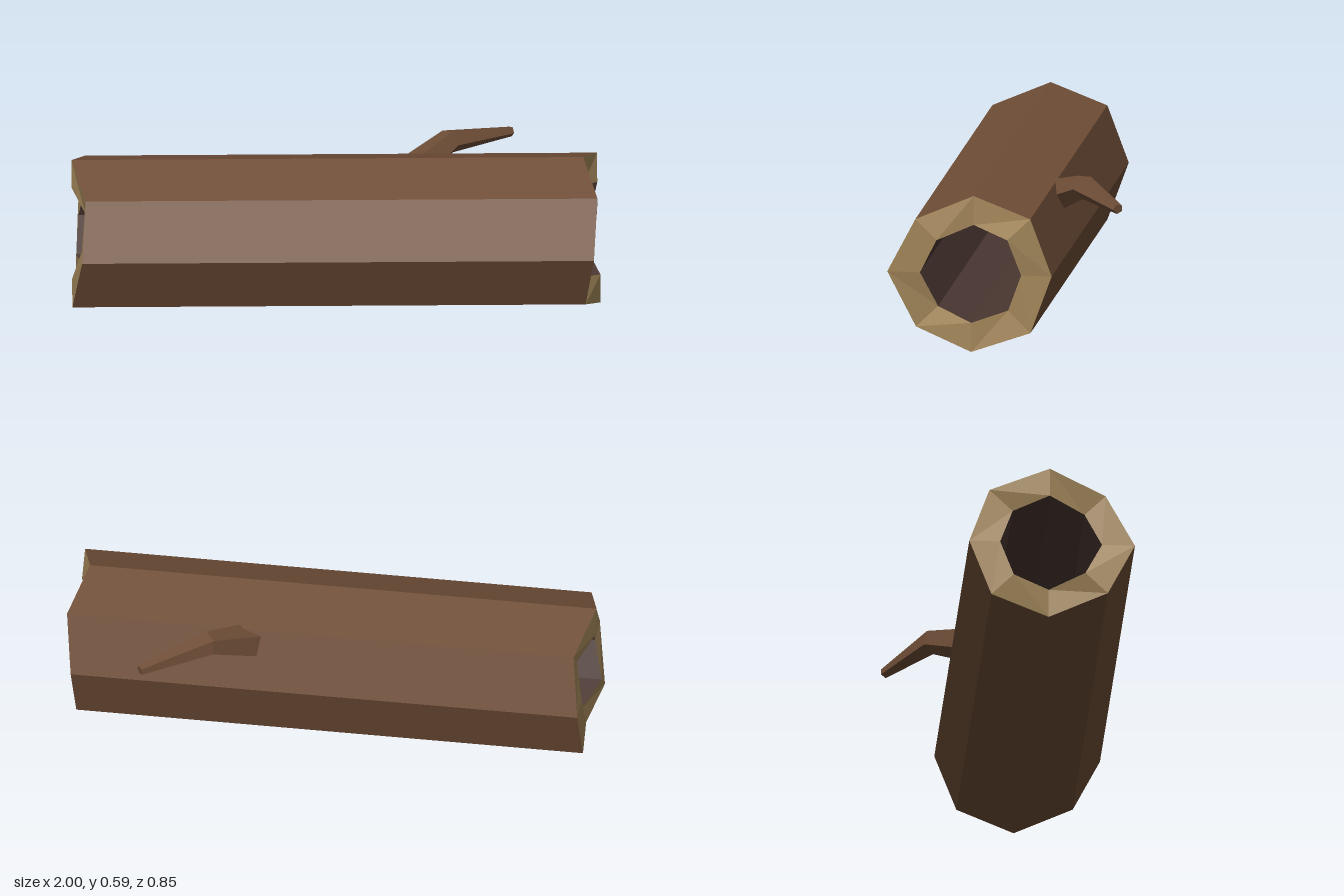
import * as THREE from 'three';

const bark = new THREE.MeshStandardMaterial({ color: 0x6f4e37 });
bark.name = 'bark';
const cutWood = new THREE.MeshStandardMaterial({ color: 0xa5885b });
cutWood.name = 'cut wood';
const hollowWood = new THREE.MeshStandardMaterial({ color: 0x4a3731 });
hollowWood.name = 'hollow wood';

// Flat-shaded mesh from a list of triangle corner points
function facetMesh(name, points, material) {
  const geometry = new THREE.BufferGeometry().setFromPoints(points);
  geometry.computeVertexNormals();
  const mesh = new THREE.Mesh(geometry, material);
  mesh.name = name;
  return mesh;
}

const quad = (a, b, c, d) => [a, b, c, a, c, d];

// Log cross-sections as [z, y], running from the top towards the front
const outer = [[0.10, 0.59], [0.315, 0.505], [0.425, 0.295], [0.32, 0.078],
  [0.10, 0], [-0.12, 0.07], [-0.203, 0.295], [-0.125, 0.52]];
const inner = [[0.10, 0.478], [0.235, 0.425], [0.30, 0.295], [0.235, 0.16],
  [0.10, 0.113], [-0.035, 0.155], [-0.086, 0.295], [-0.037, 0.435]];
// Uneven saw cuts: x of each corner at either end
const rightCut = [-1, -0.95, -0.965, -1, -0.94, -0.98, -0.97, -0.945];
const leftCut = [0.935, 0.985, 0.97, 0.94, 1, 0.955, 0.965, 0.99];

function createLog() {
  const ring = (profile, cut) => profile.map(([z, y], k) => new THREE.Vector3(cut[k], y, z));
  const oR = ring(outer, rightCut), oL = ring(outer, leftCut);
  const iR = ring(inner, rightCut), iL = ring(inner, leftCut);
  const skin = [], hollow = [], endL = [], endR = [];
  for (let k = 0; k < 8; k++) {
    const n = (k + 1) % 8;
    skin.push(...quad(oR[k], oR[n], oL[n], oL[k]));
    hollow.push(...quad(iR[k], iL[k], iL[n], iR[n]));
    endL.push(...quad(oL[k], oL[n], iL[n], iL[k]));
    endR.push(...quad(oR[k], iR[k], iR[n], oR[n]));
  }
  const log = new THREE.Group();
  log.name = 'log';
  log.add(facetMesh('logBark', skin, bark), facetMesh('logHollow', hollow, hollowWood),
    facetMesh('leftCutEnd', endL, cutWood), facetMesh('rightCutEnd', endR, cutWood));
  return log;
}

// Bent five-sided branch that tapers to its tip
function createBranch() {
  const sides = 5;
  const path = [[0.17, 0.39, 0.015], [0.435, 0.525, -0.245], [0.67, 0.497, -0.412]]
    .map((p) => new THREE.Vector3(...p));
  const radii = [0.088, 0.048, 0.02];
  const up = new THREE.Vector3(0, 1, 0);
  const rings = path.map((p, i) => {
    const before = path[Math.max(i - 1, 0)], after = path[Math.min(i + 1, 2)];
    const t = after.clone().sub(before).normalize();
    const u = t.clone().cross(up).normalize();
    const v = u.clone().cross(t);
    return Array.from({ length: sides }, (_, k) => {
      const a = -0.12 + (k * Math.PI * 2) / sides;
      return p.clone().addScaledVector(u, Math.cos(a) * radii[i])
        .addScaledVector(v, Math.sin(a) * radii[i]);
    });
  });
  const faces = [];
  for (let k = 0; k < sides; k++) {
    const n = (k + 1) % sides;
    for (let i = 0; i < 2; i++) {
      faces.push(...quad(rings[i][k], rings[i + 1][k], rings[i + 1][n], rings[i][n]));
    }
    faces.push(path[0], rings[0][k], rings[0][n], path[2], rings[2][n], rings[2][k]);
  }
  return facetMesh('branch', faces, bark);
}

export function createModel() {
  const model = new THREE.Group();
  model.name = 'hollowLog';
  model.add(createLog(), createBranch());
  return model;
}
